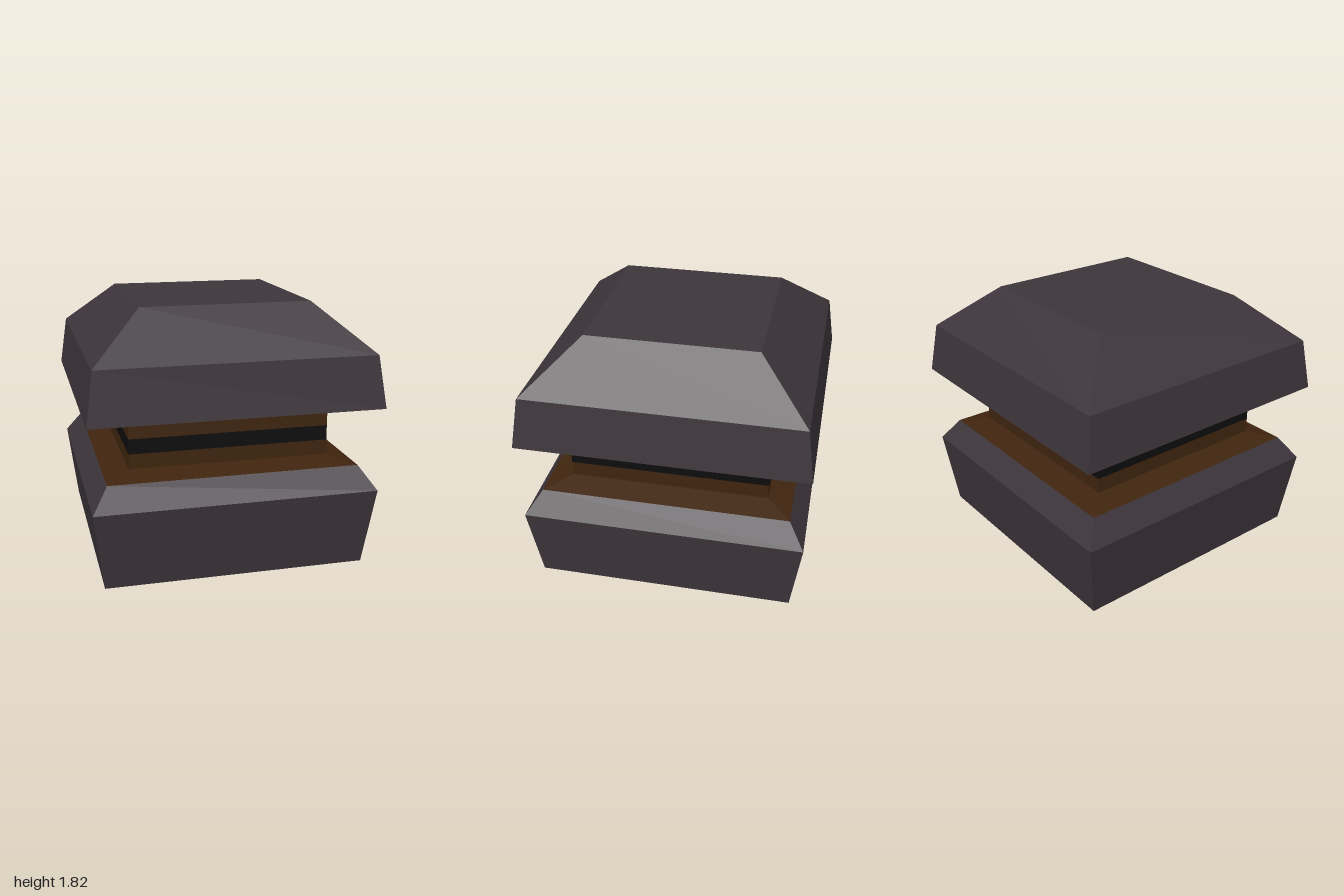
import * as THREE from 'three';

const stone = new THREE.MeshStandardMaterial({ color: 0x3d353b });
stone.name = 'dark stone';
const brown = new THREE.MeshStandardMaterial({ color: 0x40250f });
brown.name = 'dark brown';
const black = new THREE.MeshStandardMaterial({ color: 0x0d0d0d });
black.name = 'black';

// Square, flat-faced turning of a profile of [half width, height], bottom to top
function squareTurning(name, profile, material) {
  const points = profile.map(([half, y]) => new THREE.Vector2(half * Math.SQRT2, y));
  const geometry = new THREE.LatheGeometry(points, 4, Math.PI / 4).toNonIndexed();
  geometry.computeVertexNormals();
  const mesh = new THREE.Mesh(geometry, material);
  mesh.name = name;
  return mesh;
}

export function createModel() {
  const model = new THREE.Group();
  model.name = 'squarePedestal';
  model.add(
    // Flared base with a bevelled shoulder
    squareTurning('base', [[0, 0], [0.91, 0], [0.98, 0.55], [0.87, 0.71]], stone),
    // Sloping ledge and lower neck
    squareTurning('lowerNeck', [[0.87, 0.71], [0.7, 0.75], [0.7, 0.855]], brown),
    // Band round the neck
    squareTurning('neckBand', [[0.7, 0.855], [0.7, 0.96]], black),
    // Upper neck and underside of the cap
    squareTurning('upperNeck', [[0.7, 0.96], [0.7, 1.07], [1, 1.14]], brown),
    // Cap with sloping shoulders and a flat top
    squareTurning('cap', [[1, 1.14], [0.95, 1.5], [0.59, 1.82], [0, 1.82]], stone)
  );
  return model;
}
